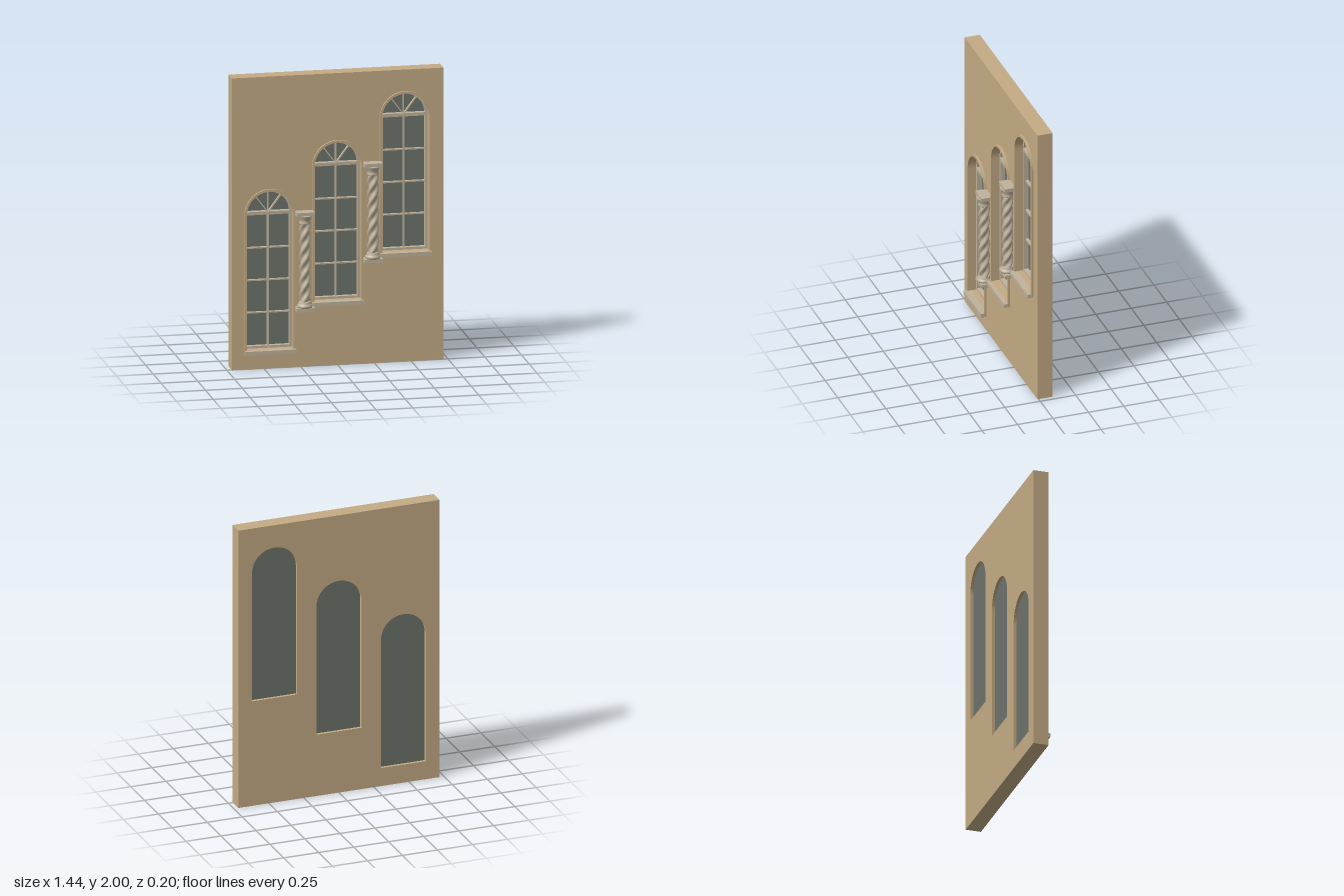
import * as THREE from 'three';
import { mergeVertices } from 'three/addons/utils/BufferGeometryUtils.js';

const WALL_FRONT = 0.008, WALL_BACK = -0.099;
const SPRING = 0.952, SILL = 0.027; // heights above the foot of each window

export function createModel() {
  const model = new THREE.Group();
  model.name = 'archedWindowWall';

  const material = (name, color) => {
    const m = new THREE.MeshStandardMaterial({ color });
    m.name = name;
    return m;
  };
  const plaster = material('tan plaster', 0xc4ab84);
  const stone = material('pale stone', 0xbfb29c);
  const glass = material('grey glass', 0x6c736b);

  const add = (parent, name, geometry, mat, x = 0, y = 0, z = 0) => {
    const mesh = new THREE.Mesh(geometry, mat);
    mesh.name = name;
    mesh.position.set(x, y, z);
    parent.add(mesh);
    return mesh;
  };
  const box = (parent, name, mat, w, h, x, y, z0, z1) =>
    add(parent, name, new THREE.BoxGeometry(w, h, z1 - z0), mat, x, y, (z0 + z1) / 2);

  // Round-headed outline, drawn into a Shape or a Path
  const arch = (path, r, bottom, x = 0, y = 0) => {
    path.moveTo(x - r, y + bottom);
    path.lineTo(x + r, y + bottom);
    path.lineTo(x + r, y + SPRING);
    path.absarc(x, y + SPRING, r, 0, Math.PI, false);
    path.closePath();
    return path;
  };
  const extrude = (shape, depth) =>
    new THREE.ExtrudeGeometry(shape, { depth, bevelEnabled: false, curveSegments: 24 });
  const archRing = (outer, outerBottom, inner, innerBottom, depth) => {
    const shape = arch(new THREE.Shape(), outer, outerBottom);
    shape.holes.push(arch(new THREE.Path(), inner, innerBottom));
    return extrude(shape, depth);
  };

  // Wall with three stepped openings
  const windows = [[-0.46, 0.103], [0, 0.415], [0.46, 0.727]];
  const wall = new THREE.Shape();
  wall.moveTo(-0.718, 0);
  wall.lineTo(0.718, 0);
  wall.lineTo(0.718, 2);
  wall.lineTo(-0.718, 2);
  wall.closePath();
  for (const [x, y] of windows) wall.holes.push(arch(new THREE.Path(), 0.16, SILL, x, y));
  add(model, 'wall', extrude(wall, WALL_FRONT - WALL_BACK), plaster, 0, 0, WALL_BACK);

  // Windows
  for (const [x, y] of windows) {
    const win = new THREE.Group();
    win.name = 'window';
    win.position.set(x, y, 0);
    model.add(win);

    add(win, 'pane', extrude(arch(new THREE.Shape(), 0.16, SILL), 0.006), glass, 0, 0, -0.078);
    add(win, 'frame', archRing(0.16, SILL, 0.144, SILL + 0.016, 0.034), stone, 0, 0, -0.072);
    add(win, 'outerTrim', archRing(0.175, 0.01, 0.159, SILL, 0.014), plaster, 0, 0, WALL_FRONT);
    box(win, 'sill', stone, 0.345, SILL, 0, SILL / 2, 0, 0.048);
    box(win, 'transom', stone, 0.29, 0.022, 0, SPRING, -0.072, -0.034);

    // Glazing bars
    const top = SPRING, bottom = SILL + 0.01;
    box(win, 'verticalBar', stone, 0.009, top - bottom, 0, (top + bottom) / 2, -0.072, -0.048);
    for (let i = 0; i < 3; i++)
      box(win, 'horizontalBar', stone, 0.29, 0.009, 0, 0.268 + i * 0.222, -0.072, -0.05);
    for (const angle of [-0.64, 0, 0.64]) {
      const bar = box(win, 'fanBar', stone, 0.008, 0.146, 0, 0, -0.072, -0.05);
      bar.position.x = Math.sin(angle) * 0.073;
      bar.position.y = SPRING + Math.cos(angle) * 0.073;
      bar.rotation.z = -angle;
    }
  }

  // Twisted shaft: a cylinder given three spiralling lobes
  const shaftGeometry = () => {
    const height = 0.54;
    let g = new THREE.CylinderGeometry(1, 1, height, 30, 72, true);
    const p = g.attributes.position;
    for (let i = 0; i < p.count; i++) {
      const a = Math.atan2(p.getZ(i), p.getX(i));
      const turn = (p.getY(i) / height) * Math.PI * 4;
      const r = 0.033 + 0.006 * Math.cos(3 * (a + turn));
      p.setX(i, Math.cos(a) * r);
      p.setZ(i, Math.sin(a) * r);
    }
    g.deleteAttribute('uv');
    g.deleteAttribute('normal');
    g = mergeVertices(g, 1e-5);
    g.computeVertexNormals();
    return g;
  };
  const lathe = (points) =>
    new THREE.LatheGeometry(points.map(([r, h]) => new THREE.Vector2(r, h)), 24);

  // Columns between the windows
  for (const [x, y] of [[-0.231, 0.392], [0.231, 0.704]]) {
    const column = new THREE.Group();
    column.name = 'column';
    column.position.set(x, y, 0.046);
    model.add(column);

    box(column, 'plinth', stone, 0.124, 0.025, 0, 0.0125, -0.046, 0.038);
    add(column, 'base', lathe([[0, 0.022], [0.046, 0.024], [0.052, 0.033], [0.051, 0.042],
      [0.044, 0.049], [0.04, 0.053], [0.041, 0.06], [0.036, 0.068], [0, 0.07]]), stone);
    add(column, 'twistedShaft', shaftGeometry(), stone, 0, 0.335, 0);
    add(column, 'capital', lathe([[0, 0.596], [0.037, 0.598], [0.04, 0.604], [0.036, 0.611],
      [0.036, 0.622], [0.041, 0.638], [0.049, 0.65], [0.049, 0.658], [0, 0.658]]), stone);
    box(column, 'abacus', stone, 0.124, 0.026, 0, 0.667, -0.046, 0.038);
  }
  return model;
}
